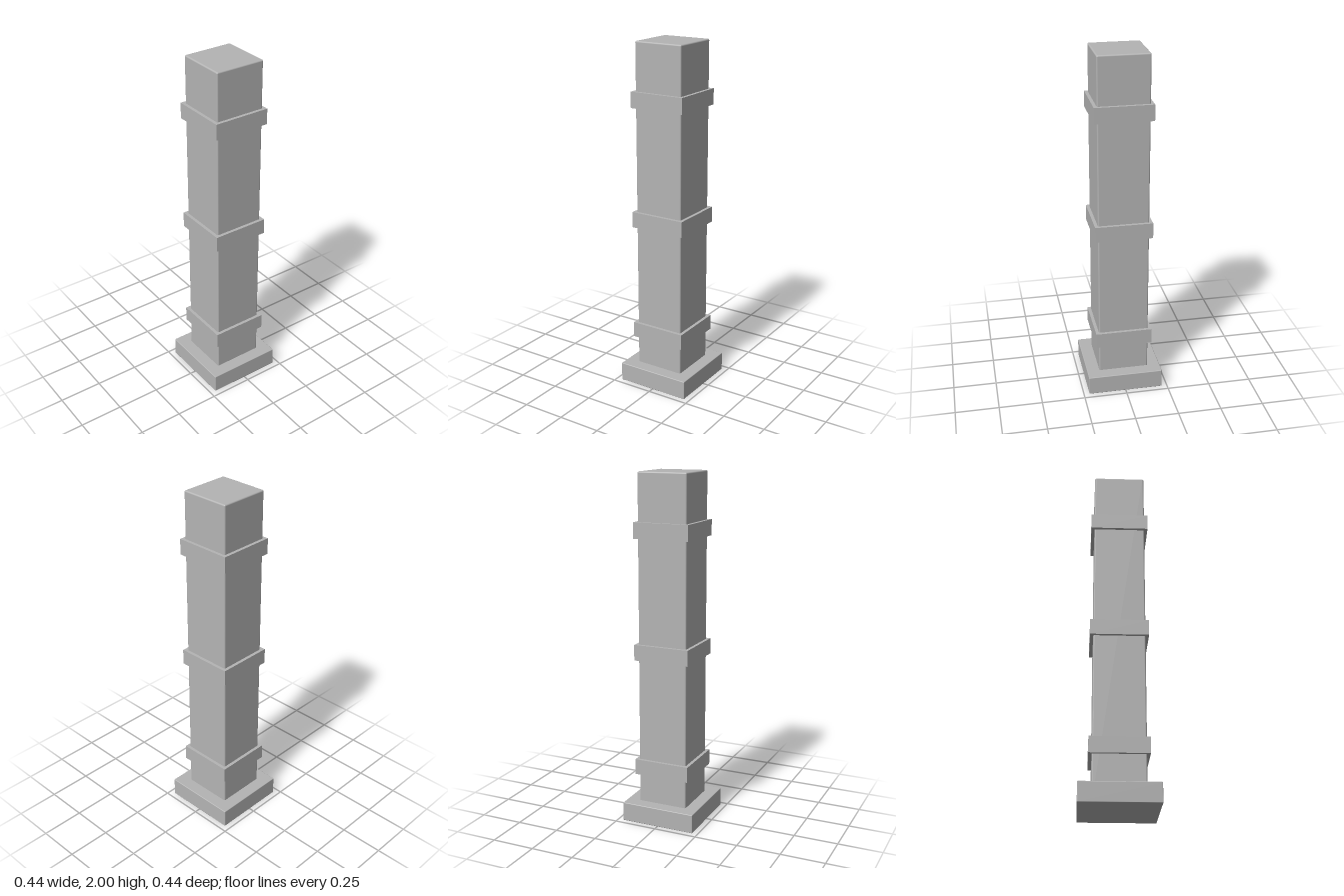
import * as THREE from 'three';
import { RoundedBoxGeometry } from 'three/addons/geometries/RoundedBoxGeometry.js';

export function createModel() {
  const model = new THREE.Group();
  model.name = 'squarePillar';

  const stone = new THREE.MeshStandardMaterial({ color: 0xb4b4b4 });
  stone.name = 'greyStone';

  // Square block spanning bottom..top, with softly rounded edges
  function addBlock(name, width, bottom, top, radius) {
    const height = top - bottom;
    const geometry = radius > 0
      ? new RoundedBoxGeometry(width, height, width, 3, radius)
      : new THREE.BoxGeometry(width, height, width);
    const block = new THREE.Mesh(geometry, stone);
    block.name = name;
    block.position.y = (bottom + top) / 2;
    model.add(block);
  }

  // Foot and full-height shaft
  addBlock('base', 0.436, 0, 0.11, 0.004);
  addBlock('shaft', 0.29, 0.05, 2, 0.008);

  // Three projecting bands around the shaft
  const bands = { lowerBand: [0.277, 0.367], middleBand: [0.957, 1.047], upperBand: [1.64, 1.73] };
  for (const [name, [bottom, top]] of Object.entries(bands)) {
    addBlock(name, 0.327, bottom, top, 0);
  }

  return model;
}
